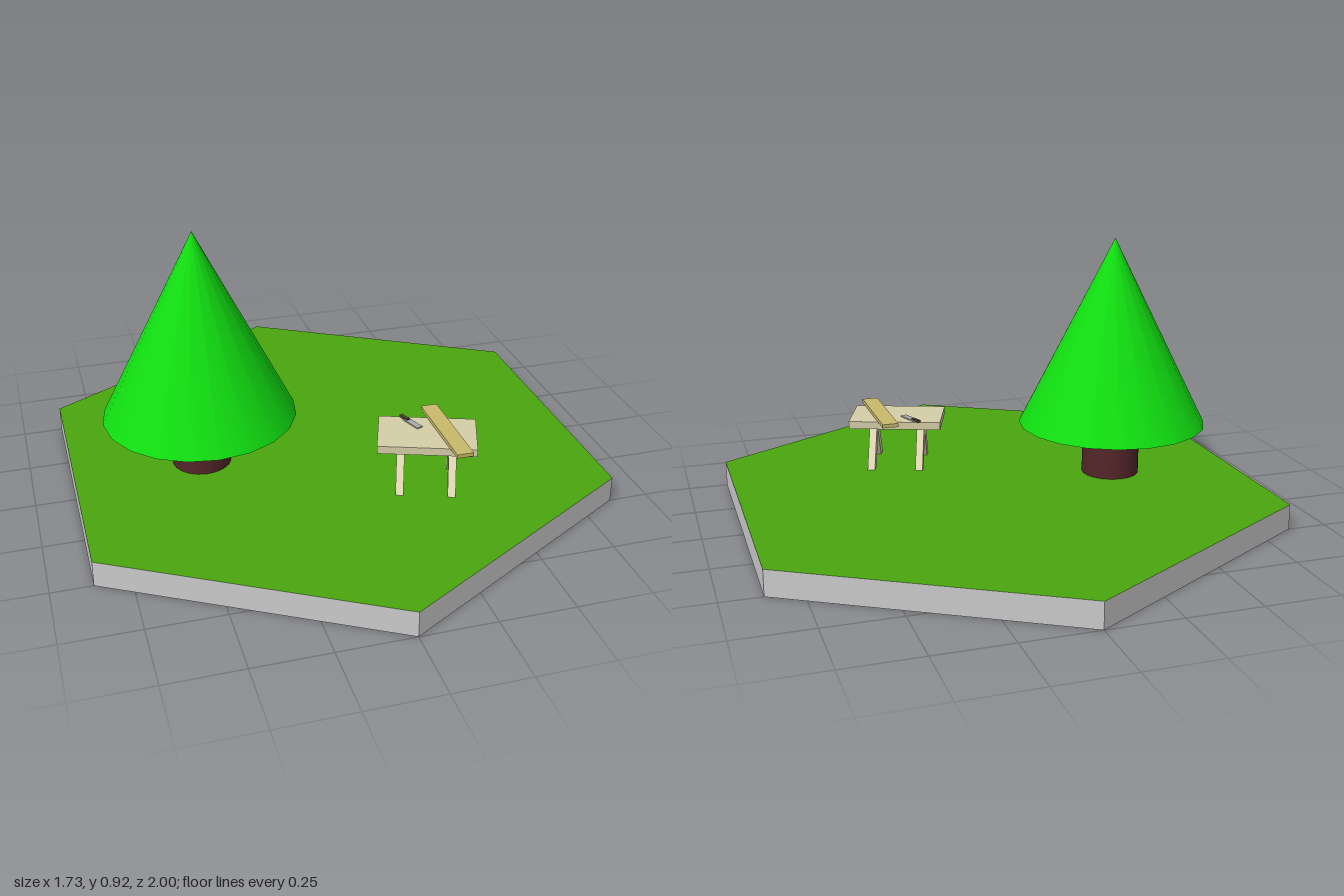
import * as THREE from 'three';

const GROUND = 0.087; // height of the grass surface

const mat = (color, flatShading = false) => new THREE.MeshStandardMaterial({ color, flatShading });

function add(parent, name, geometry, material, x = 0, y = 0, z = 0) {
  const mesh = new THREE.Mesh(geometry, material);
  mesh.name = name;
  mesh.position.set(x, y, z);
  parent.add(mesh);
  return mesh;
}

// Leg whose foot is pushed outwards along z while both ends stay level
function leaningLeg(width, height, depth, spread) {
  const geometry = new THREE.BoxGeometry(width, height, depth).translate(0, height / 2, 0);
  const p = geometry.attributes.position;
  for (let i = 0; i < p.count; i++) p.setZ(i, p.getZ(i) + spread * (1 - p.getY(i) / height));
  geometry.computeVertexNormals();
  return geometry;
}

function createTree() {
  const tree = new THREE.Group();
  tree.name = 'tree';
  add(tree, 'trunk', new THREE.CylinderGeometry(0.1, 0.1, 0.19, 20), mat(0x54262a), 0, 0.095, 0);
  add(tree, 'foliage', new THREE.ConeGeometry(0.325, 0.65, 20), mat(0x11e011), 0, 0.183 + 0.325, 0);
  return tree;
}

function createWorkbench() {
  const bench = new THREE.Group();
  bench.name = 'workbench';
  const wood = mat(0xd6cfa9, true);
  const legWood = mat(0xe2dab4, true);
  const topY = 0.177; // upper face of the bench top
  const thick = 0.027;
  add(bench, 'benchTop', new THREE.BoxGeometry(0.324, thick, 0.203), wood, 0, topY - thick / 2, 0);

  // Two A-frame trestles
  for (const x of [-0.085, 0.085]) {
    for (const side of [-1, 1]) {
      add(bench, 'trestleLeg', leaningLeg(0.026, topY - thick, 0.044, side * 0.088), legWood, x, 0, 0);
    }
  }

  // Plank lying askew across the bench
  const plank = add(bench, 'plank', new THREE.BoxGeometry(0.056, 0.013, 0.338),
    mat(0xc9ba6c, true), 0.063, topY + 0.0065, -0.008);
  plank.rotation.y = THREE.MathUtils.degToRad(20);

  // Small hand tool: flat blade and dark handle
  const tool = new THREE.Group();
  tool.name = 'handTool';
  tool.position.set(-0.056, topY, -0.065);
  tool.rotation.y = THREE.MathUtils.degToRad(40);
  add(tool, 'toolBlade', new THREE.BoxGeometry(0.022, 0.004, 0.075), mat(0xaaaaaa, true), 0, 0.002, 0.012);
  add(tool, 'toolHandle', new THREE.BoxGeometry(0.012, 0.008, 0.04), mat(0x4a4436, true), 0, 0.004, -0.03);
  bench.add(tool);
  return bench;
}

export function createModel() {
  const model = new THREE.Group();
  model.name = 'model';

  // Six-sided slab with a grass top
  const stone = mat(0xcccccc, true);
  add(model, 'groundTile', new THREE.CylinderGeometry(1, 1, GROUND, 6),
    [stone, mat(0x4aa60f, true), stone], 0, GROUND / 2, 0);

  const tree = createTree();
  tree.position.set(-0.43, GROUND, 0);
  model.add(tree);

  const bench = createWorkbench();
  bench.position.set(0.263, GROUND, 0.33);
  bench.rotation.y = THREE.MathUtils.degToRad(-20);
  model.add(bench);
  return model;
}
